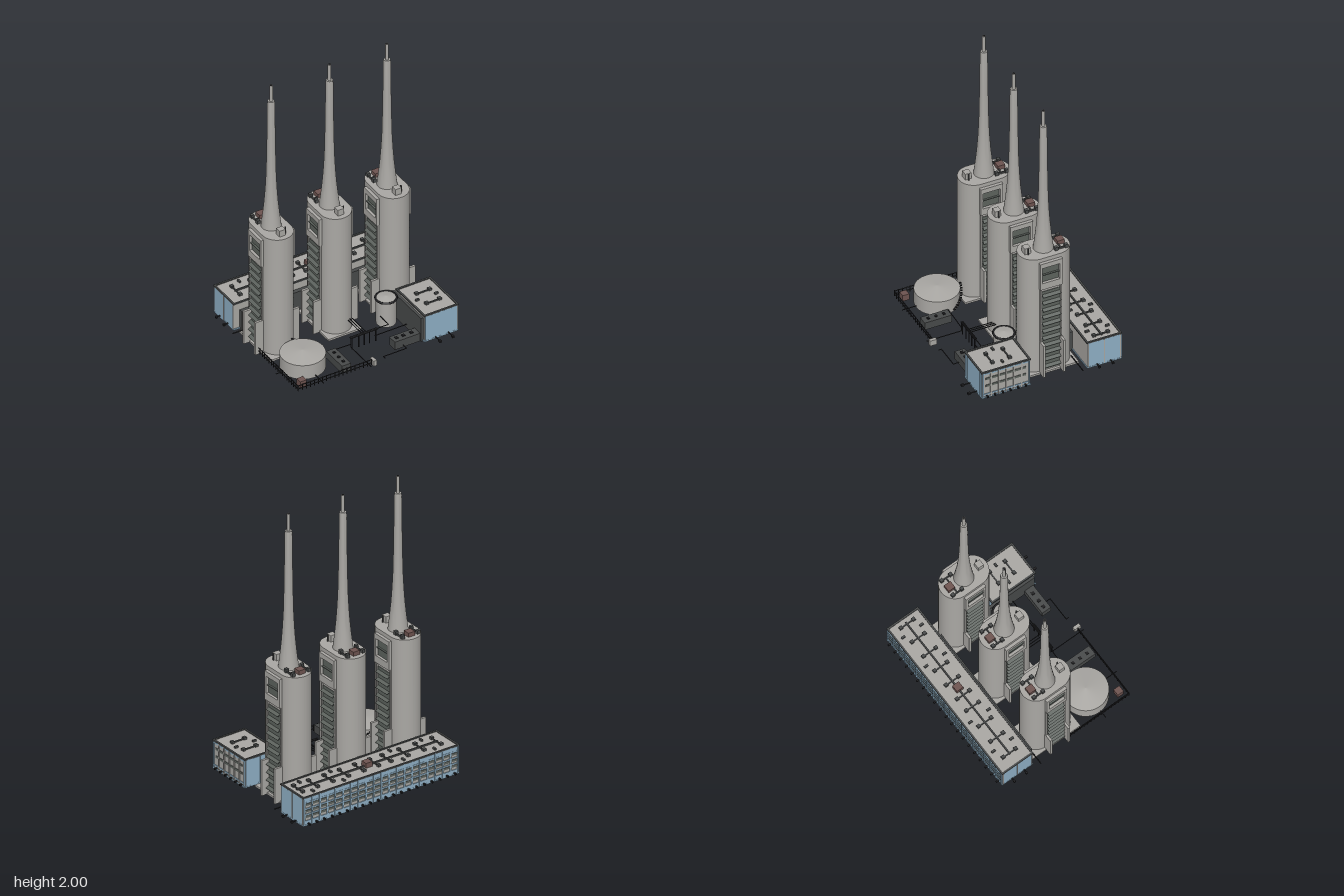
import * as THREE from 'three';
import { toCreasedNormals } from 'three/addons/utils/BufferGeometryUtils.js';

const mat = (name, color, side = THREE.FrontSide) => {
  const m = new THREE.MeshStandardMaterial({ color, side });
  m.name = name;
  return m;
};

export function createModel() {
  const model = new THREE.Group();
  model.name = 'powerStation';
  const concrete = mat('concrete', 0xaaa8a4);
  const blue = mat('blueCladding', 0x8fb0c6);
  const dark = mat('darkSteel', 0x484a4a);
  const black = mat('blackPipe', 0x1e1e20);
  const louvre = mat('louvre', 0x5d635e);
  const brown = mat('brownUnit', 0x6e5450);

  const add = (parent, name, geo, m, x = 0, y = 0, z = 0) => {
    const mesh = new THREE.Mesh(geo, m);
    mesh.name = name;
    mesh.position.set(x, y, z);
    parent.add(mesh);
    return mesh;
  };
  // box given by its min and max on each axis
  const box = (parent, name, m, x0, x1, y0, y1, z0, z1) =>
    add(parent, name, new THREE.BoxGeometry(x1 - x0, y1 - y0, z1 - z0), m, (x0 + x1) / 2, (y0 + y1) / 2, (z0 + z1) / 2);
  const group = (name, parent = model) => {
    const g = new THREE.Group();
    g.name = name;
    parent.add(g);
    return g;
  };
  // straight round pipes through a list of points
  const pipe = (parent, name, r, ...pts) => {
    for (let i = 1; i < pts.length; i++) {
      const a = new THREE.Vector3(...pts[i - 1]), b = new THREE.Vector3(...pts[i]);
      const m = add(parent, name, new THREE.CylinderGeometry(r, r, a.distanceTo(b) + r, 8), black);
      m.position.copy(a).lerp(b, 0.5);
      m.quaternion.setFromUnitVectors(new THREE.Vector3(0, 1, 0), b.sub(a).normalize());
    }
  };

  // Towers with tall chimneys
  const capsule = new THREE.Shape();
  capsule.absarc(0, 0, 0.105, Math.PI, 2 * Math.PI, false);
  capsule.absarc(0, 0.14, 0.105, 0, Math.PI, false);
  capsule.closePath();
  const towerGeo = toCreasedNormals(
    new THREE.ExtrudeGeometry(capsule, { depth: 0.895, bevelEnabled: false, curveSegments: 28 }).rotateX(-Math.PI / 2), 0.6);
  const stackProfile = [[0.066, 0.91], [0.061, 0.95], [0.053, 1.02], [0.045, 1.1], [0.038, 1.2], [0.033, 1.3],
    [0.03, 1.42], [0.027, 1.6], [0.0245, 1.86], [0.022, 1.88], [0.011, 1.88]].map(p => new THREE.Vector2(...p));
  const stackGeo = toCreasedNormals(new THREE.LatheGeometry(stackProfile, 32), 0.6);

  for (const tx of [-0.46, -0.03, 0.395]) {
    const t = group('tower');
    t.position.x = tx;
    box(t, 'foundation', concrete, -0.122, 0.122, 0.008, 0.022, -0.26, 0.12);
    for (let i = 0; i < 8; i++) for (const s of [-1, 1])
      box(t, 'groundGrille', black, s * 0.03 - 0.024, s * 0.03 + 0.024, 0.003, 0.008, -0.14 + i * 0.02, -0.132 + i * 0.02);
    add(t, 'towerBody', towerGeo, concrete, 0, 0.018, 0);
    add(t, 'chimney', stackGeo, concrete, 0, 0, -0.07);
    add(t, 'chimneyFlue', new THREE.CylinderGeometry(0.011, 0.011, 0.13, 20), concrete, 0, 1.935, -0.07);
    add(t, 'flueMouth', new THREE.CylinderGeometry(0.008, 0.008, 0.002, 20), black, 0, 1.9995, -0.07);

    for (const s of [-1, 1]) {
      const w = group('sideBay', t);
      const side = (name, m, a, b, y0, y1, z0, z1) =>
        box(w, name, m, Math.min(s * a, s * b), Math.max(s * a, s * b), y0, y1, z0, z1);
      // stepped buttress fins
      for (const z of [-0.14, 0.0]) {
        side('buttress', concrete, 0.09, 0.163, 0.01, 0.26, z - 0.008, z + 0.008);
        side('bayFin', concrete, 0.09, 0.115, 0.26, 0.68, z - 0.006, z + 0.006);
      }
      side('louvrePanel', louvre, 0.1, 0.108, 0.03, 0.65, -0.134, -0.006);
      // tilted louvre blades
      for (let i = 0; i < 11; i++) {
        const blade = side('louvreBlade', louvre, 0.108, 0.132, 0.06 + i * 0.056, 0.064 + i * 0.056, -0.132, -0.008);
        blade.rotation.z = -s * 0.6;
      }
      // hollow upper frame
      side('frameTop', concrete, 0.09, 0.126, 0.85, 0.885, -0.145, 0.012);
      side('frameSill', concrete, 0.09, 0.126, 0.68, 0.73, -0.145, 0.012);
      side('frameSide', concrete, 0.09, 0.126, 0.73, 0.85, -0.145, -0.125);
      side('frameSide', concrete, 0.09, 0.126, 0.73, 0.85, -0.005, 0.012);
      side('frameOpening', louvre, 0.1, 0.108, 0.73, 0.85, -0.125, -0.005);
      side('frameShelf', louvre, 0.108, 0.12, 0.785, 0.791, -0.125, -0.005);
      // roof fans and ducts
      for (const z of [-0.2, -0.13]) box(t, 'roofFan', dark, s * 0.06 - 0.011, s * 0.06 + 0.011, 0.913, 0.938, z - 0.011, z + 0.011);
      box(t, 'roofDuct', dark, s * 0.06 - 0.004, s * 0.06 + 0.004, 0.913, 0.925, -0.2, -0.13);
    }
    box(t, 'roofDuct', dark, -0.06, 0.06, 0.913, 0.923, -0.169, -0.161);
    box(t, 'brownRoofUnit', brown, -0.03, 0.02, 0.913, 0.942, -0.21, -0.16);
    box(t, 'stairHead', concrete, -0.022, 0.022, 0.913, 0.958, 0.028, 0.07);
    add(t, 'roofVent', new THREE.CylinderGeometry(0.005, 0.005, 0.05, 8), dark, 0.03, 0.936, 0.05);
  }

  // Clad halls: blue end walls, banded long wall, roof plant
  const hall = (name, x0, x1, z0, z1) => {
    const h = group(name);
    box(h, 'hallBody', concrete, x0, x1, 0.02, 0.222, z0, z1);
    const e = 0.006;
    for (const [a, b, c, d] of [[x0 - e, x1 + e, z0 - e, z0 + e], [x0 - e, x1 + e, z1 - e, z1 + e],
      [x0 - e, x0 + e, z0, z1], [x1 - e, x1 + e, z0, z1]]) {
      box(h, 'parapet', dark, a, b, 0.218, 0.228, c, d);
      box(h, 'baseTrim', blue, a + 0.001, b - 0.001, 0.022, 0.032, c + 0.001, d - 0.001);
    }
    return h;
  };

  // Rear hall
  const rear = hall('rearHall', -0.607, 0.602, -0.512, -0.278);
  for (const [a, b] of [[-0.611, -0.607], [0.602, 0.606]]) {
    box(rear, 'blueEndWall', blue, a, b, 0.03, 0.216, -0.508, -0.282);
    for (const z of [-0.508, -0.395, -0.282])
      box(rear, 'endMullion', concrete, a - 0.002, b + 0.002, 0.03, 0.216, z - 0.003, z + 0.003);
    const s = Math.sign(a);
    for (const z of [-0.44, -0.345]) {
      pipe(rear, 'drainStub', 0.005, [s * 0.6, 0.035, z], [s * 0.64, 0.035, z]);
      box(rear, 'drainBox', black, s * 0.638 - 0.007, s * 0.638 + 0.007, 0.028, 0.042, z - 0.007, z + 0.007);
    }
  }
  for (const y of [0.045, 0.205]) box(rear, 'blueBand', blue, -0.605, 0.6, y - 0.013, y + 0.013, -0.516, -0.512);
  for (const y of [0.085, 0.125, 0.17]) {
    box(rear, 'windowStrip', louvre, -0.605, 0.6, y - 0.008, y + 0.008, -0.515, -0.512);
    box(rear, 'blueBand', blue, -0.605, 0.6, y + 0.011, y + 0.021, -0.516, -0.512);
  }
  for (let i = 0; i <= 20; i++) {
    const x = -0.603 + i * 0.06;
    box(rear, 'bluePilaster', blue, x - 0.005, x + 0.005, 0.025, 0.222, -0.519, -0.512);
    if (i < 20) box(rear, 'drainStub', black, x + 0.025, x + 0.035, 0.028, 0.04, -0.535, -0.512);
  }
  box(rear, 'lowGallery', dark, -0.565, 0.39, 0.02, 0.165, -0.278, -0.25);
  box(rear, 'roofMainDuct', dark, -0.53, 0.57, 0.222, 0.232, -0.4, -0.39);
  for (const x of [-0.522, -0.39, -0.264, -0.133, -0.036, 0.08, 0.2, 0.32, 0.44, 0.557]) {
    box(rear, 'roofBranchDuct', dark, x - 0.004, x + 0.004, 0.222, 0.23, -0.44, -0.345);
    for (const z of [-0.443, -0.345]) box(rear, 'roofFan', dark, x - 0.011, x + 0.011, 0.222, 0.238, z - 0.011, z + 0.011);
  }
  for (const x of [-0.453, -0.21, 0.257, 0.498]) for (const z of [-0.468, -0.325])
    box(rear, 'roofHatch', dark, x - 0.007, x + 0.007, 0.222, 0.234, z - 0.014, z + 0.014);
  box(rear, 'brownRoofUnit', brown, -0.004, 0.045, 0.222, 0.256, -0.42, -0.37);

  // Front hall
  const front = hall('frontHall', 0.352, 0.594, 0.122, 0.455);
  for (const [a, b] of [[0.118, 0.122], [0.455, 0.459]]) {
    box(front, 'blueEndWall', blue, 0.356, 0.59, 0.03, 0.216, a, b);
    for (const x of [0.385, 0.475, 0.565]) box(front, 'endMullion', blue, x - 0.004, x + 0.004, 0.03, 0.222, a - 0.002, b + 0.002);
  }
  for (const y of [0.115, 0.17]) box(front, 'windowStrip', louvre, 0.594, 0.597, y - 0.008, y + 0.008, 0.15, 0.43);
  for (const y of [0.05, 0.21]) box(front, 'blueBand', blue, 0.594, 0.598, y - 0.005, y + 0.005, 0.125, 0.452);
  for (let i = 0; i < 7; i++) {
    const z = 0.127 + i * 0.0535;
    box(front, 'pilaster', i % 6 ? concrete : blue, 0.594, 0.6, 0.025, 0.222, z - 0.004, z + 0.004);
    if (i < 6) box(front, 'drainStub', black, 0.594, 0.613, 0.028, 0.04, z + 0.022, z + 0.032);
  }
  for (const x of [0.43, 0.525]) {
    pipe(front, 'drainStub', 0.004, [x, 0.035, 0.45], [x, 0.035, 0.52]);
    box(front, 'drainBox', black, x - 0.007, x + 0.007, 0.028, 0.042, 0.503, 0.523);
    for (const z of [0.23, 0.35]) box(front, 'roofFan', dark, x - 0.011, x + 0.011, 0.222, 0.238, z - 0.011, z + 0.011);
  }
  for (const z of [0.23, 0.35]) box(front, 'roofDuct', dark, 0.43, 0.525, 0.222, 0.23, z - 0.004, z + 0.004);
  for (const x of [0.4, 0.54]) box(front, 'roofHatch', dark, x - 0.013, x + 0.013, 0.222, 0.234, 0.281, 0.295);
  box(front, 'sideGallery', dark, 0.334, 0.352, 0.02, 0.2, 0.085, 0.44);

  // Wide storage tank with curved steps
  const tank = group('storageTank');
  tank.position.set(-0.435, 0, 0.27);
  add(tank, 'tankShell', new THREE.CylinderGeometry(0.147, 0.147, 0.105, 48), concrete, 0, 0.0725, 0);
  add(tank, 'tankRoof', new THREE.ConeGeometry(0.147, 0.02, 48, 1, true), concrete, 0, 0.135, 0);
  for (let i = 0; i < 12; i++) {
    const a = 1.45 - i * 0.1;
    const step = add(tank, 'tankStep', new THREE.BoxGeometry(0.014, 0.005, 0.012), black,
      Math.cos(a) * 0.154, 0.125 - i * 0.008, -Math.sin(a) * 0.154);
    step.rotation.y = a;
  }

  // Silo with dark collar
  const silo = group('silo');
  silo.position.set(0.26, 0, 0.14);
  add(silo, 'siloShell', new THREE.CylinderGeometry(0.065, 0.065, 0.19, 36), concrete, 0, 0.115, 0);
  add(silo, 'siloRoof', new THREE.ConeGeometry(0.063, 0.012, 36, 1, true), concrete, 0, 0.217, 0);
  const collar = add(silo, 'siloCollar', new THREE.TorusGeometry(0.068, 0.007, 8, 40), black, 0, 0.208, 0);
  collar.rotation.x = Math.PI / 2;

  // Yard sheds and cabinets
  const yard = group('yard');
  box(yard, 'darkShed', dark, -0.267, -0.2, 0.02, 0.075, 0.28, 0.47);
  for (const z of [0.32, 0.375, 0.43]) box(yard, 'shedVent', black, -0.242, -0.225, 0.075, 0.082, z - 0.008, z + 0.008);
  box(yard, 'darkShed', dark, 0.148, 0.336, 0.02, 0.08, 0.362, 0.43);
  for (const x of [0.18, 0.23, 0.29]) box(yard, 'shedVent', black, x - 0.01, x + 0.01, 0.08, 0.086, 0.385, 0.405);
  box(yard, 'brownCabinet', brown, -0.572, -0.525, 0.02, 0.065, 0.42, 0.466);
  box(yard, 'paleCabinet', concrete, -0.058, -0.035, 0.02, 0.06, 0.465, 0.512);

  // Perimeter rails on short posts
  for (const y of [0.035, 0.058]) pipe(yard, 'perimeterRail', 0.003, [-0.6, y, 0], [-0.6, y, 0.487], [-0.06, y, 0.487]);
  for (let i = 0; i <= 18; i++) {
    pipe(yard, 'railPost', 0.003, [-0.6 + i * 0.03, 0.02, 0.487], [-0.6 + i * 0.03, 0.062, 0.487]);
    pipe(yard, 'railPost', 0.003, [-0.6, 0.02, i * 0.027], [-0.6, 0.062, i * 0.027]);
  }

  // Yard pipework and pipe bridge
  pipe(yard, 'yardPipe', 0.003, [-0.295, 0.05, 0.262], [-0.08, 0.05, 0.268]);
  pipe(yard, 'yardPipe', 0.003, [0.1, 0.05, 0.268], [0.34, 0.05, 0.268]);
  pipe(yard, 'yardPipe', 0.003, [-0.08, 0.09, 0.27], [-0.08, 0.03, 0.27], [-0.08, 0.03, 0.515]);
  pipe(yard, 'yardPipe', 0.003, [-0.43, 0.035, 0.41], [-0.43, 0.035, 0.515]);
  pipe(yard, 'yardPipe', 0.003, [-0.58, 0.035, 0.277], [-0.635, 0.035, 0.277]);
  pipe(yard, 'yardPipe', 0.003, [0.21, 0.035, 0.43], [0.21, 0.035, 0.47], [0.04, 0.035, 0.47], [0.04, 0.035, 0.488]);
  for (const [a, b] of [[-0.64, -0.52], [0.46, 0.625]]) pipe(yard, 'yardPipe', 0.004, [a, 0.035, -0.235], [b, 0.035, -0.235]);
  for (const x of [0.006, 0.022, 0.038]) pipe(yard, 'bridgePipe', 0.003, [x, 0.1, 0.09], [x, 0.1, 0.268]);
  for (const z of [0.262, 0.268, 0.274]) pipe(yard, 'bridgePipe', 0.004, [-0.08, 0.1, z], [0.115, 0.1, z]);
  for (const x of [-0.07, -0.02, 0.02, 0.06, 0.105]) pipe(yard, 'bridgeLeg', 0.004, [x, 0.01, 0.268], [x, 0.1, 0.268]);
  pipe(yard, 'bridgePipe', 0.003, [0.115, 0.1, 0.268], [0.2, 0.1, 0.268], [0.2, 0.1, 0.17]);
  return model;
}
